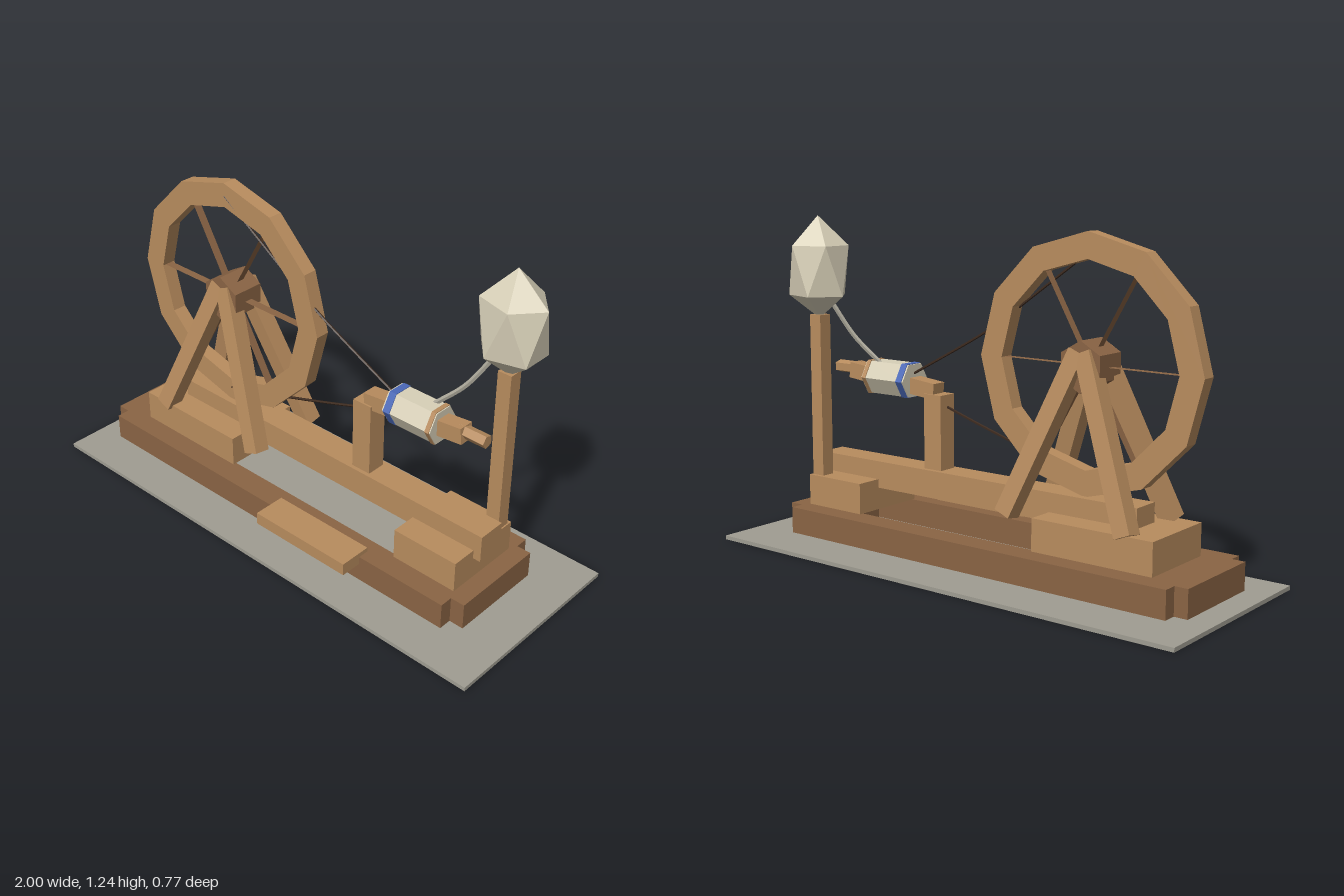
import * as THREE from 'three';
import { ConvexGeometry } from 'three/addons/geometries/ConvexGeometry.js';

const V = (x, y, z) => new THREE.Vector3(x, y, z);

function material(name, color, side = THREE.FrontSide) {
  const m = new THREE.MeshStandardMaterial({ color, flatShading: true, side });
  m.name = name;
  return m;
}

export function createModel() {
  const group = new THREE.Group();
  const wood = material('lightWood', 0xb88c5e);
  const darkWood = material('darkWood', 0x8a6444, THREE.DoubleSide);
  const stone = material('stone', 0xa09d92);
  const wool = material('wool', 0xd8d0b8);
  const blue = material('blue', 0x4a68b8);
  const cord = material('cord', 0x3d2a1e);
  const yarn = material('yarn', 0xaaa698);

  const add = (name, geometry, mat, position = V(0, 0, 0)) => {
    const mesh = new THREE.Mesh(geometry, mat);
    mesh.name = name;
    mesh.position.copy(position);
    group.add(mesh);
    return mesh;
  };
  // box given by its limits on each axis
  const box = (name, mat, x0, x1, y0, y1, z0, z1) =>
    add(name, new THREE.BoxGeometry(x1 - x0, y1 - y0, z1 - z0), mat,
      V((x0 + x1) / 2, (y0 + y1) / 2, (z0 + z1) / 2));
  // square bar between two points
  const bar = (name, mat, a, b, size) => {
    const mesh = add(name, new THREE.BoxGeometry(size, a.distanceTo(b), size), mat,
      a.clone().add(b).multiplyScalar(0.5));
    mesh.quaternion.setFromUnitVectors(V(0, 1, 0), b.clone().sub(a).normalize());
    return mesh;
  };
  // faceted cylinder lying along x
  const rod = (name, mat, x0, x1, y, z, radius, sides) =>
    add(name, new THREE.CylinderGeometry(radius, radius, x1 - x0, sides).rotateZ(Math.PI / 2),
      mat, V((x0 + x1) / 2, y, z));
  const tube = (name, mat, radius, points) =>
    add(name, new THREE.TubeGeometry(new THREE.CatmullRomCurve3(points), 16, radius, 5), mat);

  // ground slab and base frame
  box('groundSlab', stone, -1, 1, 0, 0.015, -0.385, 0.385);
  box('frontRail', darkWood, -0.88, 0.78, 0.033, 0.133, 0.14, 0.237);
  box('backRail', darkWood, -0.88, 0.78, 0.033, 0.133, -0.237, -0.14);
  box('rightEndRail', darkWood, -0.93, -0.77, 0.033, 0.133, -0.187, 0.187);
  box('leftEndRail', darkWood, 0.68, 0.835, 0.033, 0.133, -0.187, 0.187);

  // blocks, beam and pedal
  box('wheelBlock', wood, -0.78, -0.3, 0.133, 0.25, -0.156, 0.154);
  box('distaffBlock', wood, 0.5, 0.765, 0.133, 0.25, -0.156, 0.154);
  box('centreBeam', wood, -0.656, 0.795, 0.217, 0.32, -0.054, 0.056);
  box('pedal', wood, -0.005, 0.415, 0.103, 0.15, 0.195, 0.32);

  // wheel: twelve-sided rim, hexagonal hub, flat spokes
  const centre = V(-0.428, 0.767, 0.003);
  const ring = (radius) => Array.from({ length: 12 }, (_, i) => {
    const a = i * Math.PI / 6;
    return new THREE.Vector2(radius * Math.cos(a), radius * Math.sin(a));
  });
  const rim = new THREE.Shape(ring(0.45));
  rim.holes.push(new THREE.Path(ring(0.358)));
  add('wheelRim', new THREE.ExtrudeGeometry(rim, { depth: 0.056, bevelEnabled: false })
    .translate(0, 0, -0.028), wood, centre);
  add('wheelHub', new THREE.CylinderGeometry(0.09, 0.09, 0.127, 6).rotateX(Math.PI / 2),
    darkWood, centre);
  for (let i = 0; i < 6; i++) {
    const spoke = new THREE.PlaneGeometry(0.32, 0.032).rotateX(Math.PI / 2)
      .translate(0.23, 0, 0).rotateZ(i * Math.PI / 3);
    add('spoke', spoke, darkWood, centre);
  }

  // splayed wheel legs
  for (const sx of [-1, 1]) {
    for (const sz of [-1, 1]) {
      bar('wheelLeg', wood, V(-0.428 + sx * 0.245, 0.245, sz * 0.142),
        V(-0.428 + sx * 0.012, 0.815, sz * 0.042), 0.064);
    }
  }

  // spindle post, tilted arm and tip
  box('spindlePost', wood, 0.203, 0.283, 0.32, 0.6, -0.035, 0.041);
  bar('spindleArm', wood, V(0.245, 0.609, 0.003), V(0.665, 0.653, 0.003), 0.06);
  rod('spindleTip', wood, 0.64, 0.75, 0.658, 0.002, 0.025, 5);

  // bobbin with coloured bands
  rod('bobbin', wool, 0.358, 0.566, 0.638, 0.001, 0.07, 6);
  rod('bobbinBlueBand', blue, 0.364, 0.392, 0.638, 0.001, 0.073, 6);
  rod('bobbinWoodBand', wood, 0.545, 0.562, 0.638, 0.001, 0.073, 6);

  // distaff post and faceted wool bundle
  box('distaffPost', wood, 0.706, 0.76, 0.25, 0.87, -0.141, -0.088);
  const bundle = [V(0, 1.243, 0), V(0, 0.855, 0)];
  for (let i = 0; i < 5; i++) {
    const a = i * Math.PI * 0.4;
    const x = 0.123 * Math.cos(a), z = 0.1035 * Math.sin(a);
    bundle.push(V(x, 1.132, z), V(-x, 0.943, -z));
  }
  add('woolBundle', new ConvexGeometry(bundle), wool, V(0.735, 0, -0.114));

  // drive cord and yarn
  tube('upperCord', cord, 0.005,
    [V(-0.43, 1.167, 0.028), V(-0.125, 0.95, 0.018), V(0, 0.862, 0.012), V(0.38, 0.655, 0)]);
  tube('lowerCord', cord, 0.005,
    [V(-0.43, 0.37, 0.028), V(-0.14, 0.445, 0.015), V(0.21, 0.555, 0.006), V(0.38, 0.62, 0)]);
  tube('yarn', yarn, 0.009,
    [V(0.69, 0.92, -0.095), V(0.61, 0.79, -0.055), V(0.51, 0.69, -0.018)]);

  return group;
}
